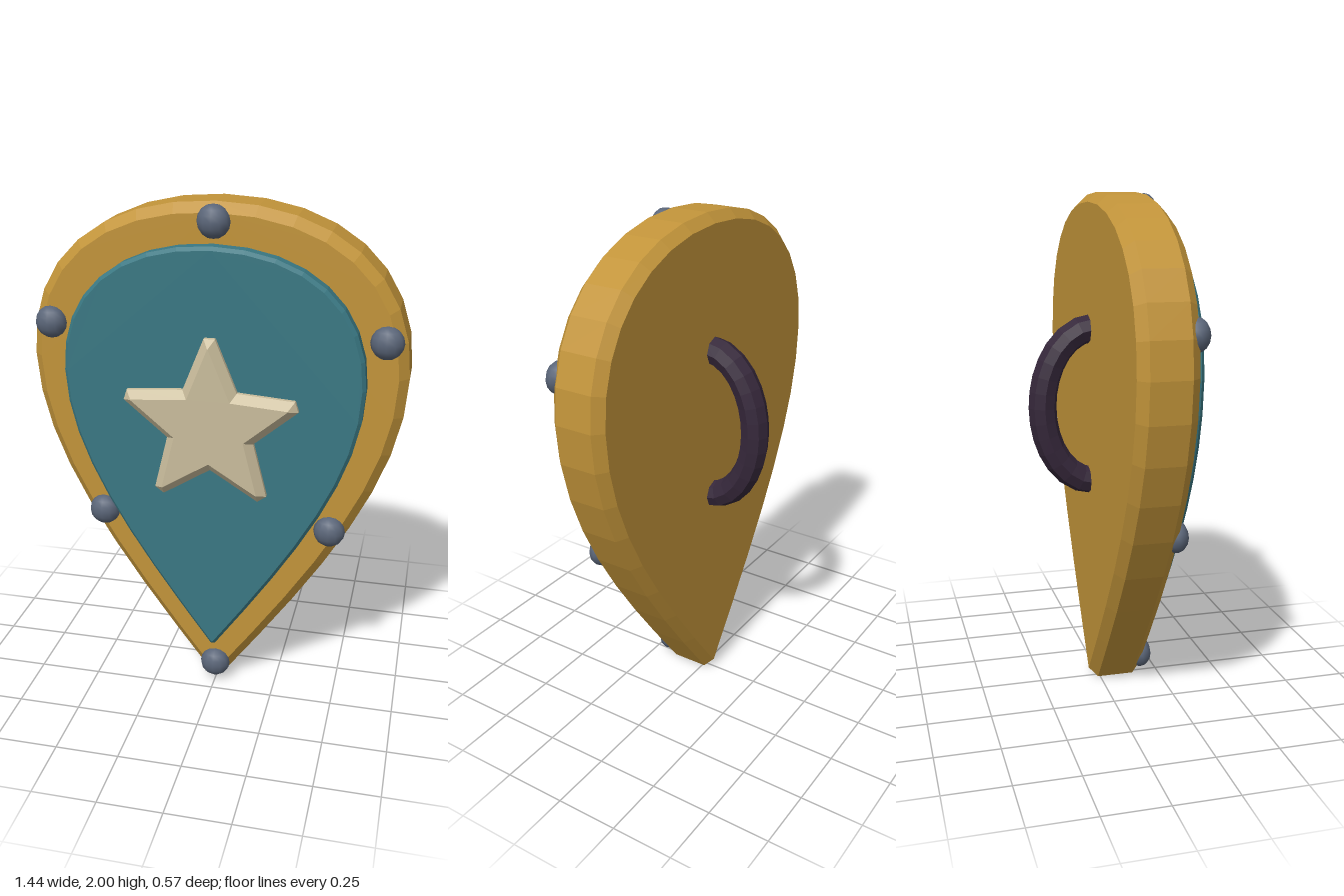
import * as THREE from 'three';

const material = (name, color) => {
  const m = new THREE.MeshStandardMaterial({ color });
  m.name = name;
  return m;
};

// Teardrop outline: wide rounded top, pointed bottom, with a tiny flat at the tip
function teardrop(halfWidth, bottom, top) {
  const x = (v) => (v / 0.685) * halfWidth;
  const y = (v) => bottom + ((v - 0.035) / 1.93) * (top - bottom);
  const e = 0.002;
  const s = new THREE.Shape();
  s.moveTo(0, y(1.965));
  s.bezierCurveTo(x(-0.42), y(1.965), x(-0.685), y(1.75), x(-0.685), y(1.39));
  s.bezierCurveTo(x(-0.685), y(1.0), x(-0.42), y(0.6), -e, y(0.035));
  s.lineTo(e, y(0.035));
  s.bezierCurveTo(x(0.42), y(0.6), x(0.685), y(1.0), x(0.685), y(1.39));
  s.bezierCurveTo(x(0.685), y(1.75), x(0.42), y(1.965), 0, y(1.965));
  return s;
}

// Five-pointed star whose tips are tiny flats, so the bevel blunts them
function starShape(cy, outer, inner) {
  const pts = [];
  for (let i = 0; i < 5; i++) {
    const a = Math.PI / 2 + (i * Math.PI * 2) / 5;
    for (const d of [-0.003, 0.003]) {
      pts.push(new THREE.Vector2(Math.cos(a + d) * outer, cy + Math.sin(a + d) * outer));
    }
    const b = a + Math.PI / 5;
    pts.push(new THREE.Vector2(Math.cos(b) * inner, cy + Math.sin(b) * inner));
  }
  return new THREE.Shape(pts);
}

// Bevelled slab reaching exactly from z = back to z = front
function slab(shape, back, front, bevel) {
  const g = new THREE.ExtrudeGeometry(shape, {
    depth: front - back - 2 * bevel,
    bevelEnabled: true,
    bevelSegments: 1,
    bevelSize: bevel,
    bevelThickness: bevel,
    curveSegments: 8,
  });
  return g.translate(0, 0, back + bevel);
}

export function createModel() {
  const gold = material('gold', 0xc2943a);
  const teal = material('teal', 0x3a7883);
  const cream = material('cream', 0xcabd9c);
  const steel = material('steel', 0x5a6578);
  const leather = material('dark leather', 0x35273a);

  const shield = new THREE.Group();
  shield.name = 'shield';
  const add = (name, geometry, mat) => {
    const mesh = new THREE.Mesh(geometry, mat);
    mesh.name = name;
    shield.add(mesh);
    return mesh;
  };

  // Body, raised panel and emblem
  add('body', slab(teardrop(0.685, 0.035, 1.965), -0.045, 0.178, 0.036), gold);
  add('facePanel', slab(teardrop(0.56, 0.218, 1.843), 0.13, 0.238, 0.013), teal);
  add('star', slab(starShape(1.181, 0.314, 0.14), 0.195, 0.285, 0.03), cream);

  // Rivets around the rim
  const rivet = new THREE.SphereGeometry(0.062, 12, 8);
  const spots = [[0, 1.935], [0, 0.083], [0.635, 1.53], [-0.635, 1.53], [0.457, 0.755], [-0.457, 0.755]];
  for (const [x, y] of spots) {
    const r = add('rivet', rivet, steel);
    r.position.set(x, y, 0.178);
    r.scale.z = 0.78;
  }

  // Arched grip on the back, its ends sunk into the body
  const arc = [];
  for (let i = 0; i <= 12; i++) {
    const a = (i / 12) * Math.PI;
    arc.push(new THREE.Vector3(0, 1.174 + 0.31 * Math.cos(a), -0.02 - 0.21 * Math.sin(a)));
  }
  const grip = new THREE.TubeGeometry(new THREE.CatmullRomCurve3(arc), 14, 0.056, 8).toNonIndexed();
  grip.computeVertexNormals();
  add('handle', grip, leather);

  return shield;
}
